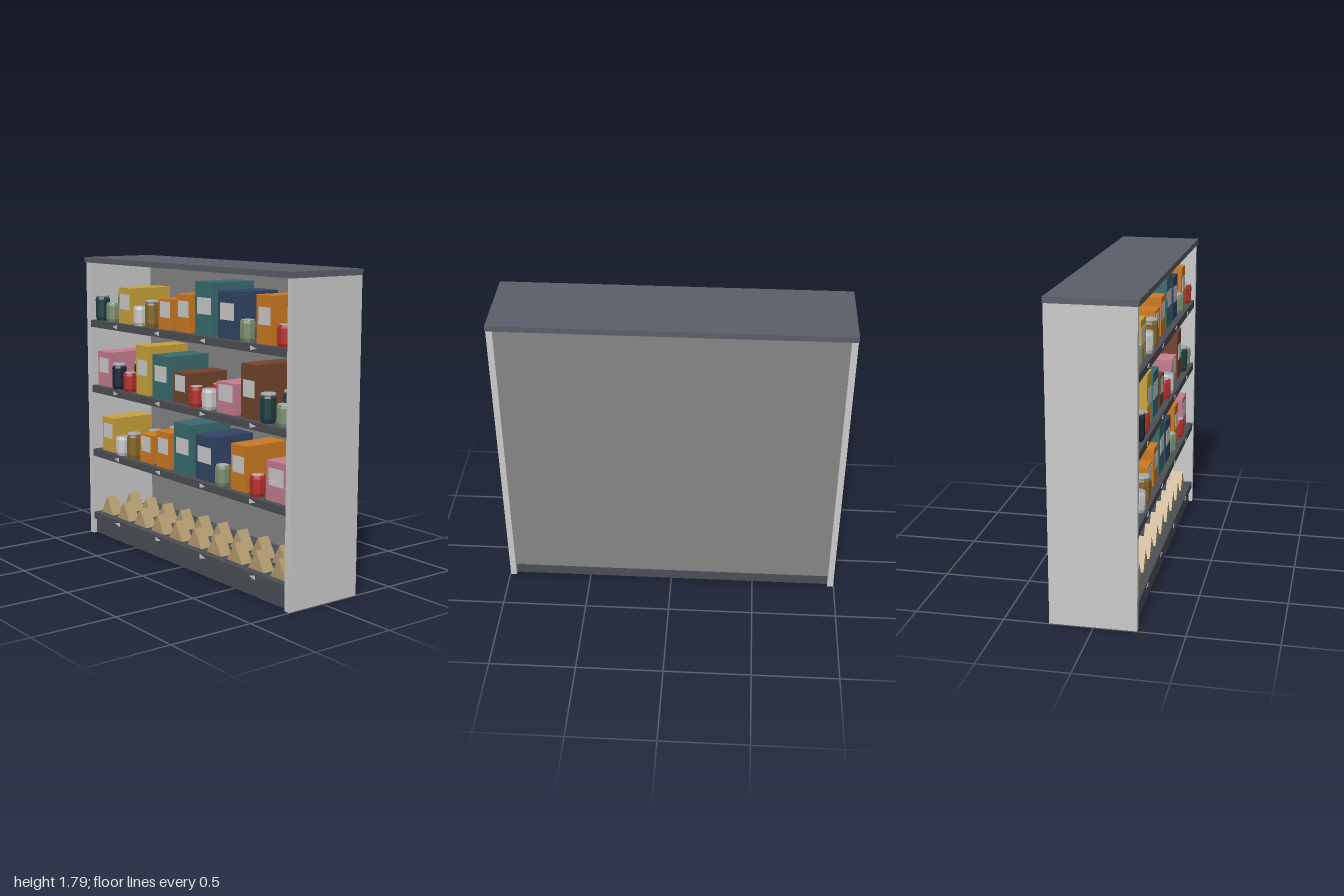
import * as THREE from 'three';

const mat = (color) => new THREE.MeshStandardMaterial({ color, flatShading: true });
const M = {
  grey: mat(0xcccccc), back: mat(0x868686), top: mat(0x5c5f69), shelf: mat(0x4c4f54), base: mat(0x4a4e55),
  yellow: mat(0xc9a33a), orange: mat(0xcc7a22), teal: mat(0x3a6b6e), navy: mat(0x324565), pink: mat(0xc47d8f),
  brown: mat(0x70452e), red: mat(0xb8302c), green: mat(0x7d9170), gold: mat(0x85682a), darkTeal: mat(0x1f3f42),
  darkNavy: mat(0x1c2636), white: mat(0xcccccc), lid: mat(0xa4a8ad), bread: mat(0xb39c72),
};

function mesh(parent, name, geometry, material, x = 0, y = 0, z = 0) {
  const m = new THREE.Mesh(geometry, material);
  m.name = name;
  m.position.set(x, y, z);
  parent.add(m);
  return m;
}

// Box given by its minimum and maximum corners
function block(parent, name, material, [x0, y0, z0], [x1, y1, z1]) {
  return mesh(parent, name, new THREE.BoxGeometry(x1 - x0, y1 - y0, z1 - z0), material,
    (x0 + x1) / 2, (y0 + y1) / 2, (z0 + z1) / 2);
}

const lathe = (pts) => new THREE.LatheGeometry(pts.map(([r, y]) => new THREE.Vector2(r, y)), 8);
const shortCan = lathe([[0, 0], [0.037, 0], [0.044, 0.02], [0.045, 0.1], [0.04, 0.118], [0, 0.118]]);
const tallCan = lathe([[0, 0], [0.038, 0], [0.045, 0.025], [0.045, 0.135], [0.038, 0.148], [0, 0.148]]);
const tallLid = lathe([[0, 0], [0.04, 0], [0.044, 0.006], [0.044, 0.012], [0.038, 0.017], [0, 0.017]]);
const shortLid = new THREE.CylinderGeometry(0.036, 0.038, 0.004, 8);

// Carton with a label on its front
function carton(parent, color, x0, x1, h, y) {
  const g = new THREE.Group();
  g.name = 'carton';
  parent.add(g);
  const front = 0.195, cx = (x0 + x1) / 2, w = (x1 - x0) * 0.74, cy = y + 0.046 + h * 0.4;
  block(g, 'cartonBody', M[color], [x0, y, front - 0.29], [x1, y + h, front]);
  block(g, 'cartonLabel', M.grey, [cx - w / 2, cy - 0.047, front - 0.002], [cx + w / 2, cy + 0.047, front + 0.002]);
}

// A file of cans, three deep, slightly out of line
function canFile(parent, color, x, tall, y) {
  [0.18, 0.02, -0.14].forEach((z, i) => {
    const g = new THREE.Group();
    g.name = 'can';
    g.position.set(x + [0, 0.005, -0.004][i], y, z);
    g.rotation.y = 0.4 + i * 0.3;
    parent.add(g);
    mesh(g, 'canBody', tall ? tallCan : shortCan, M[color]);
    mesh(g, 'canLid', tall ? tallLid : shortLid, M.lid, 0, tall ? 0.146 : 0.118, 0);
  });
}

// Shelf stock: cartons are [color, x0, x1, height], cans are [color, x, isTall]
const STOCK = [
  { y: 1.395, arrows: [-1, -1, -1, 1], items: [
    ['darkTeal', -0.9, true], ['green', -0.775, false], ['yellow', -0.69, -0.55, 0.22], ['white', -0.47, false],
    ['gold', -0.345, true], ['orange', -0.257, -0.123, 0.18], ['orange', -0.075, 0.06, 0.22],
    ['teal', 0.107, 0.278, 0.3], ['navy', 0.32, 0.487, 0.26], ['green', 0.567, false],
    ['orange', 0.658, 0.792, 0.26], ['red', 0.877, false]] },
  { y: 0.977, arrows: [1, -1, 1, 1], items: [
    ['pink', -0.942, -0.803, 0.22], ['darkNavy', -0.717, true], ['red', -0.59, false], ['yellow', -0.503, -0.369, 0.3],
    ['teal', -0.326, -0.155, 0.26], ['brown', -0.107, 0.027, 0.18], ['red', 0.1, false], ['white', 0.222, false],
    ['pink', 0.31, 0.476, 0.175], ['brown', 0.53, 0.664, 0.3], ['darkTeal', 0.744, true], ['green', 0.877, false]] },
  { y: 0.56, arrows: [-1, -1, 1, 1], items: [
    ['yellow', -0.9, -0.766, 0.22], ['white', -0.685, false], ['gold', -0.557, true], ['orange', -0.47, -0.337, 0.175],
    ['orange', -0.289, -0.15, 0.22], ['teal', -0.107, 0.064, 0.3], ['navy', 0.107, 0.278, 0.26], ['green', 0.348, false],
    ['orange', 0.44, 0.578, 0.26], ['red', 0.658, false], ['pink', 0.75, 0.915, 0.22]] },
  { y: 0.14, arrows: [-1, 1, 1, -1], items: [] },
];

// Triangular outline extruded along z and centred
function triangle(points, depth) {
  const shape = new THREE.Shape(points.map(([x, y]) => new THREE.Vector2(x, y)));
  return new THREE.ExtrudeGeometry(shape, { depth, bevelEnabled: false }).translate(0, 0, -depth / 2);
}

export function createModel() {
  const model = new THREE.Group();
  model.name = 'shopShelf';

  // Carcass
  block(model, 'topPanel', M.top, [-1, 1.757, -0.247], [1, 1.79, 0.247]);
  block(model, 'backPanel', M.back, [-0.96, 0.08, -0.24], [0.96, 1.757, -0.225]);
  block(model, 'base', M.base, [-0.96, 0.002, -0.225], [0.96, 0.098, 0.215]);
  for (const s of [-1, 1]) {
    const side = block(model, s > 0 ? 'leftSide' : 'rightSide', M.grey, [-0.018, 0, -0.245], [0.018, 1.757, 0.238]);
    side.position.x = s * 0.979;
  }

  // Shelves with pointer marks and their goods
  const arrow = triangle([[0.025, 0], [-0.025, 0.013], [-0.025, -0.013]], 0.004);
  for (const { y, arrows, items } of STOCK) {
    const shelf = new THREE.Group();
    shelf.name = 'shelf';
    model.add(shelf);
    block(shelf, 'shelfBoard', M.shelf, [-0.96, y - 0.044, -0.225], [0.96, y, 0.232]);
    arrows.forEach((dir, i) => {
      const a = mesh(shelf, 'pointerMark', arrow, M.grey, -0.68 + i * 0.453, y - 0.022, 0.233);
      if (dir < 0) a.rotation.z = Math.PI;
    });
    for (const item of items) {
      if (item.length === 4) carton(shelf, ...item, y);
      else canFile(shelf, ...item, y);
    }
  }

  // Two rows of triangular sandwiches on the bottom shelf
  const wedge = triangle([[-0.068, 0], [0.068, 0], [0, 0.112]], 0.075);
  for (const z of [0.15, -0.02]) {
    for (let i = 0; i < 10; i++) mesh(model, 'sandwich', wedge, M.bread, -0.87 + i * 0.191, 0.14, z);
  }
  return model;
}
